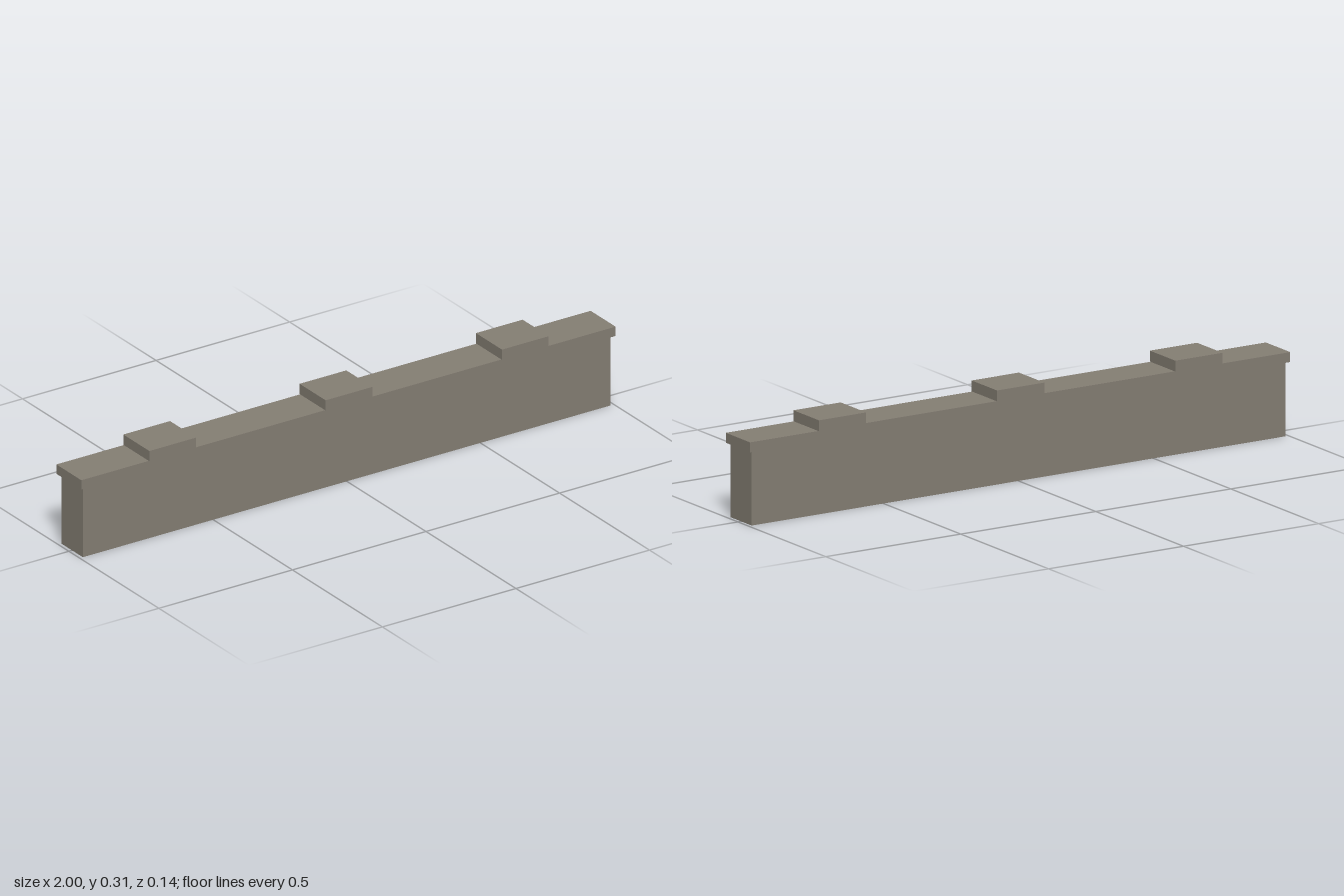
import * as THREE from 'three';

export function createModel() {
  const group = new THREE.Group();
  const stone = new THREE.MeshStandardMaterial({ color: 0x857f74 });
  stone.name = 'stone';

  // Box given by its width, depth, bottom and top heights
  const addBlock = (name, width, depth, bottom, top, x = 0) => {
    const mesh = new THREE.Mesh(new THREE.BoxGeometry(width, top - bottom, depth), stone);
    mesh.name = name;
    mesh.position.set(x, (bottom + top) / 2, 0);
    group.add(mesh);
  };

  // Wall body and overhanging coping
  addBlock('wall', 1.976, 0.12, 0, 0.239);
  addBlock('coping', 2, 0.139, 0.239, 0.271);

  // Three raised cap stones
  ['capStoneRight', 'capStoneMiddle', 'capStoneLeft'].forEach((name, i) =>
    addBlock(name, 0.175, 0.145, 0.271, 0.306, (i - 1) * 0.66));

  return group;
}
